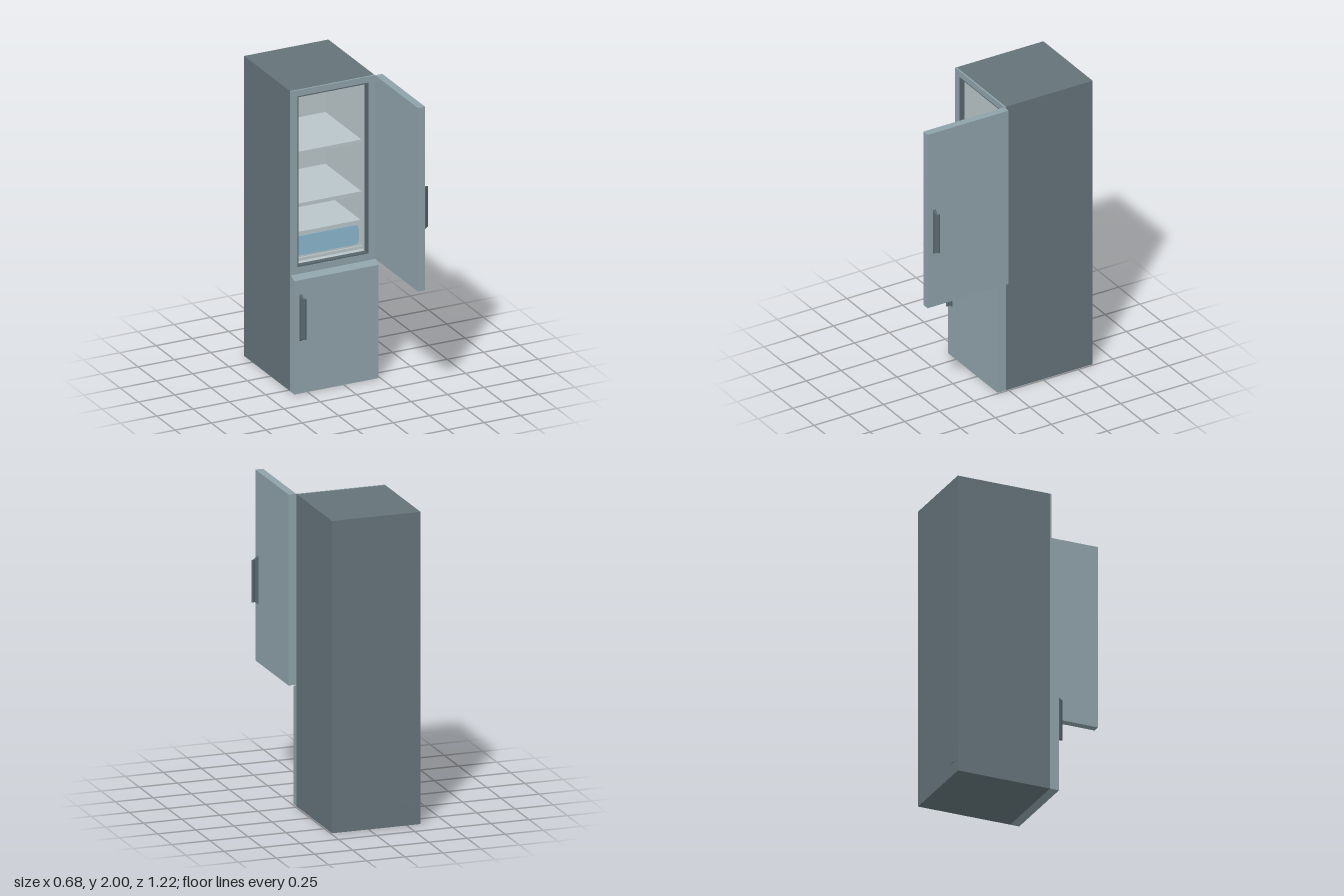
import * as THREE from 'three';

const mat = (name, color) => {
  const m = new THREE.MeshStandardMaterial({ color });
  m.name = name;
  return m;
};

export function createModel() {
  const root = new THREE.Group();
  root.name = 'refrigerator';
  const casing = mat('casing grey', 0x64737a);
  const door = mat('door blue grey', 0x8ea2a9);
  const lining = mat('lining pale grey', 0xb9c5c9);
  const dark = mat('seal and handle grey', 0x58676d);
  const blue = mat('drawer window blue', 0x8bb5cd);

  const add = (parent, name, geo, material) => {
    const m = new THREE.Mesh(geo, material);
    m.name = name;
    parent.add(m);
    return m;
  };
  // Box given by its minimum and maximum corners
  const box = (parent, name, material, x0, x1, y0, y1, z0, z1) => {
    const g = new THREE.BoxGeometry(x1 - x0, y1 - y0, z1 - z0);
    g.translate((x0 + x1) / 2, (y0 + y1) / 2, (z0 + z1) / 2);
    return add(parent, name, g, material);
  };
  const rect = (P, [x0, x1, y0, y1]) => new P([[x0, y0], [x1, y0], [x1, y1], [x0, y1]].map(p => new THREE.Vector2(...p)));
  // Rectangular frame extruded along z
  const frame = (name, material, outer, inner, z0, z1) => {
    const s = rect(THREE.Shape, outer);
    s.holes.push(rect(THREE.Path, inner));
    const g = new THREE.ExtrudeGeometry(s, { depth: z1 - z0, bevelEnabled: false });
    g.translate(0, 0, z0);
    return add(root, name, g, material);
  };

  // Casing: hollow upper compartment, closed back, pale front rim
  const L = -0.34, R = 0.24, outer = [L, R, 0, 2];
  frame('casingShell', casing, outer, [-0.3, 0.2, 0.815, 1.965], -0.57, 0.015);
  box(root, 'casingBack', casing, L, R, 0, 2, -0.61, -0.57);
  frame('frontRim', door, outer, [-0.295, 0.195, 0.82, 1.96], 0.015, 0.026);
  frame('doorSeal', dark, [-0.295, 0.195, 0.82, 1.96], [-0.287, 0.187, 0.828, 1.952], -0.01, 0.024);
  box(root, 'rearSocketCover', casing, -0.29, -0.23, 0.08, 0.16, -0.614, -0.609);

  // Compartment lining
  box(root, 'liningBack', lining, -0.3, 0.2, 0.815, 1.965, -0.57, -0.55);
  box(root, 'liningRightWall', lining, -0.3, -0.29, 0.815, 1.965, -0.55, 0.01);
  box(root, 'liningLeftWall', lining, 0.19, 0.2, 0.815, 1.965, -0.55, 0.01);
  box(root, 'liningFloor', lining, -0.29, 0.19, 0.815, 0.825, -0.55, 0.01);
  box(root, 'liningCeiling', lining, -0.29, 0.19, 1.955, 1.965, -0.55, 0.01);

  // Shelves
  for (const y of [1.18, 1.525]) box(root, 'shelf', lining, -0.29, 0.19, y, y + 0.024, -0.55, -0.06);

  // Drawer with a rounded window
  box(root, 'drawer', lining, -0.284, 0.184, 0.845, 1.015, -0.55, -0.06);
  box(root, 'drawerRunner', lining, -0.29, 0.19, 0.825, 0.845, -0.55, -0.05);
  const w = 0.22, h = 0.065, r = 0.03, win = new THREE.Shape();
  [[w, h, 0], [-w, h, 1], [-w, -h, 2], [w, -h, 3]].forEach(([x, y, q]) =>
    win.absarc(x - Math.sign(x) * r, y - Math.sign(y) * r, r, q * Math.PI / 2, (q + 1) * Math.PI / 2, false));
  win.closePath();
  add(root, 'drawerWindow', new THREE.ExtrudeGeometry(win, { depth: 0.005, bevelEnabled: false }), blue)
    .position.set(-0.05, 0.923, -0.06);

  // Bent grip: plan profile (x, z) pulled upward, narrower away from the door
  const handle = (parent, y) => {
    const pts = [[-0.546, 0], [-0.546, 0.012], [-0.543, 0.028], [-0.528, 0.047], [-0.517, 0.037], [-0.529, 0.024], [-0.527, 0.012], [-0.527, 0]];
    const s = new THREE.Shape(pts.map(([x, z]) => new THREE.Vector2(x, -z)));
    const g = new THREE.ExtrudeGeometry(s, { depth: 0.31, bevelEnabled: false });
    g.translate(0, 0, -0.155);
    g.rotateX(-Math.PI / 2);
    const p = g.attributes.position;
    for (let i = 0; i < p.count; i++) {
      const k = Math.min(p.getZ(i) / 0.024, 1);
      p.setY(i, p.getY(i) * (1 - 0.13 * k));
    }
    g.computeVertexNormals();
    add(parent, 'handle', g, dark).position.set(0, y, 0.05);
  };

  // Doors hang from a hinge line at their local x = 0
  const lower = new THREE.Group();
  lower.name = 'lowerDoor';
  lower.position.set(R, 0, 0.026);
  const side = new THREE.Shape([[0, 0], [0.05, 0], [0.05, 0.755], [0, 0.775]].map(p => new THREE.Vector2(...p)));
  const panel = new THREE.ExtrudeGeometry(side, { depth: 0.58, bevelEnabled: false });
  panel.rotateY(-Math.PI / 2);
  add(lower, 'lowerDoorPanel', panel, door);
  handle(lower, 0.505);

  const upper = new THREE.Group();
  upper.name = 'upperDoor';
  upper.position.set(R, 0, 0.026);
  upper.rotation.y = Math.PI / 2;
  box(upper, 'upperDoorPanel', door, -0.584, 0, 0.777, 2, 0, 0.05);
  handle(upper, 1.305);

  root.add(lower, upper);
  return root;
}
